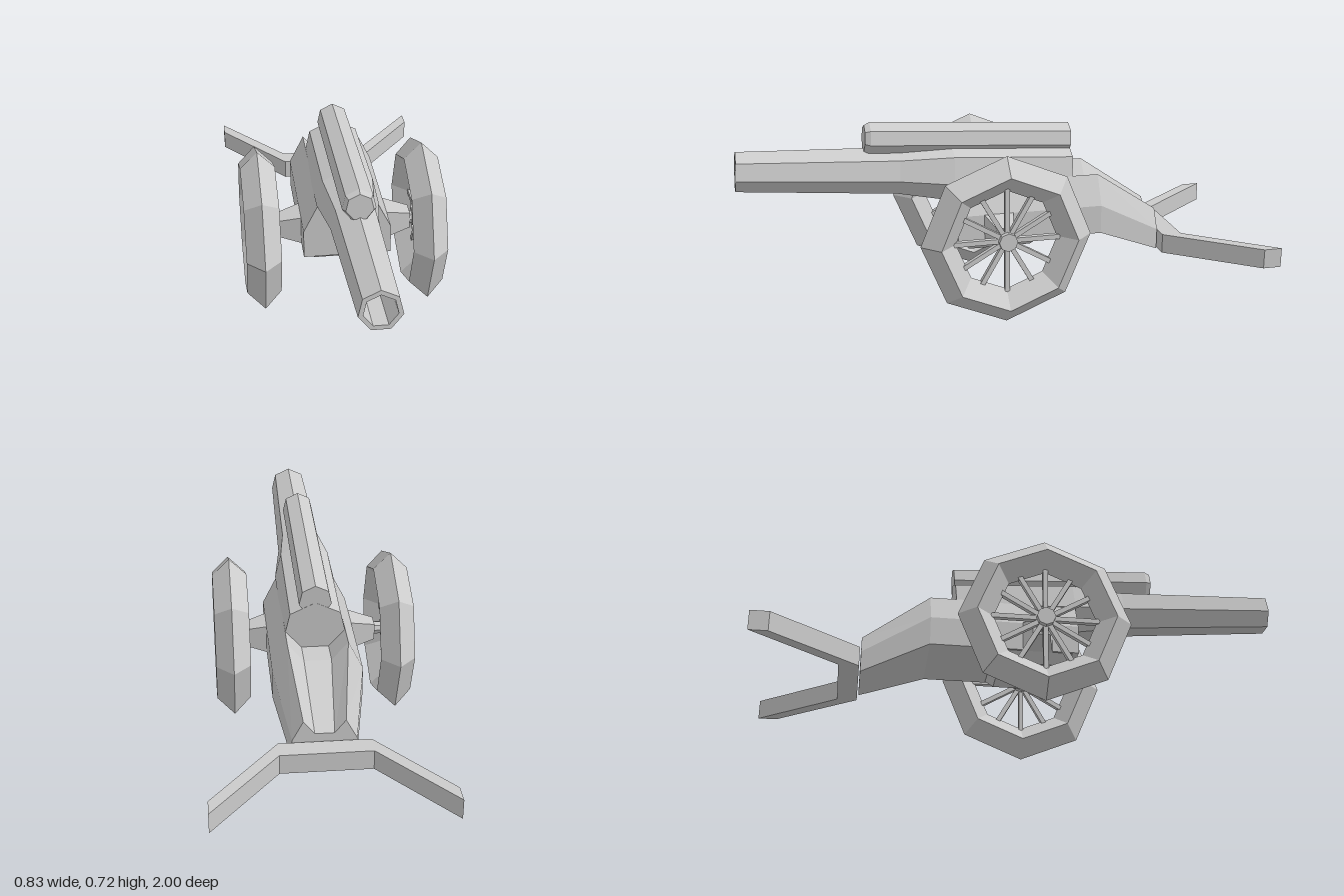
import * as THREE from 'three';

const mat = new THREE.MeshStandardMaterial({ color: 0xcccccc, flatShading: true });

function add(parent, name, geo, x = 0, y = 0, z = 0) {
  const mesh = new THREE.Mesh(geo, mat);
  mesh.name = name;
  mesh.position.set(x, y, z);
  parent.add(mesh);
  return mesh;
}

// Skin cross-sections (counter-clockwise in xy, ordered back to front) and cap both ends
function loft(sections) {
  const n = sections[0].pts.length;
  const pos = [], idx = [];
  for (const s of sections) for (const [x, y] of s.pts) pos.push(x, y, s.z);
  for (let i = 0; i < sections.length - 1; i++) {
    for (let j = 0; j < n; j++) {
      const a = i * n + j, b = i * n + (j + 1) % n;
      idx.push(a, b, b + n, a, b + n, a + n);
    }
  }
  const cap = (s) => THREE.ShapeUtils.triangulateShape(s.pts.map((p) => new THREE.Vector2(...p)), []);
  for (const [a, b, c] of cap(sections[0])) idx.push(a, c, b);
  const o = (sections.length - 1) * n;
  for (const [a, b, c] of cap(sections[sections.length - 1])) idx.push(o + a, o + b, o + c);
  const geo = new THREE.BufferGeometry();
  geo.setAttribute('position', new THREE.Float32BufferAttribute(pos, 3));
  geo.setIndex(idx);
  const flat = geo.toNonIndexed();
  flat.computeVertexNormals();
  return flat;
}

// Symmetric section from its right half, listed bottom to top
function section(z, half) {
  return { z, pts: [...half, ...half.map(([x, y]) => [-x, y]).reverse()] };
}

// Seven-sided turned part pointing along +z, with a corner at the top
function turned(profile) {
  const pts = profile.map(([r, l]) => new THREE.Vector2(r, l));
  return new THREE.LatheGeometry(pts, 7, Math.PI).rotateX(Math.PI / 2);
}

function makeWheel(name, x) {
  const wheel = new THREE.Group();
  wheel.name = name;
  wheel.position.set(x, 0.325, 0.047);
  // Octagonal rim with a diamond cross-section
  add(wheel, 'rim', new THREE.TorusGeometry(0.256, 0.065, 4, 8).rotateY(Math.PI / 2));
  add(wheel, 'hub', new THREE.CylinderGeometry(0.035, 0.035, 0.06, 8).rotateZ(Math.PI / 2));
  for (let i = 0; i < 12; i++) {
    const spoke = add(wheel, 'spoke', new THREE.BoxGeometry(0.02, 0.225, 0.018).translate(0, 0.1125, 0));
    spoke.rotation.x = (i * Math.PI) / 6;
  }
  return wheel;
}

export function createModel() {
  const model = new THREE.Group();
  model.name = 'fieldGun';
  const tilt = -0.063;

  // Main barrel with an open bore
  const barrel = add(model, 'barrel', turned([
    [0, 0], [0.118, 0], [0.118, 0.46], [0.09, 0.66], [0.075, 1.258],
    [0.058, 1.258], [0.058, 1.0], [0, 1.0],
  ]), 0, 0.488, -0.26);
  barrel.rotation.x = tilt;

  // Recoil cylinder above the barrel
  const recoil = add(model, 'recoilCylinder', turned([
    [0, 0], [0.061, 0], [0.061, 0.77], [0.05, 0.79], [0, 0.79],
  ]), 0, 0.613, -0.267);
  recoil.rotation.x = tilt;

  // Carriage body running back into the grooved trail
  const rear = [[0.115, 0.165], [0.115, 0.245], [0.075, 0.32], [0.035, 0.27]];
  const main = [[0.165, 0.27], [0.165, 0.38], [0.11, 0.49], [0.05, 0.42]];
  add(model, 'carriage', loft([section(-0.61, rear), section(-0.36, main), section(0.2, main)]));

  // Tapered belly under the carriage
  const belly = loft([
    { z: -0.03, pts: [[-0.12, -0.12], [0.12, -0.12], [0.12, 0.12], [-0.12, 0.12]] },
    { z: 0.01, pts: [[-0.16, -0.15], [0.16, -0.15], [0.16, 0.15], [-0.16, 0.15]] },
  ]).rotateX(-Math.PI / 2);
  add(model, 'belly', belly, 0, 0.264, 0.03);

  // Spread tail bar
  const bar = new THREE.Shape([
    [-0.415, -0.93], [-0.165, -0.615], [0.165, -0.615], [0.415, -0.93],
    [0.415, -1], [0.165, -0.69], [-0.165, -0.69], [-0.415, -1],
  ].map(([x, z]) => new THREE.Vector2(x, -z)));
  add(model, 'tailBar', new THREE.ExtrudeGeometry(bar, { depth: 0.075, bevelEnabled: false })
    .rotateX(-Math.PI / 2), 0, 0.165, 0);

  // Axle stubs and wheels
  for (const [side, s, x] of [['left', 1, 0.3], ['right', -1, -0.32]]) {
    const stub = new THREE.CylinderGeometry(0.032 * Math.SQRT2, 0.057 * Math.SQRT2, 0.1, 4)
      .rotateY(Math.PI / 4).rotateZ(-s * Math.PI / 2);
    add(model, side + 'AxleStub', stub, s * 0.21, 0.325, 0.043);
    const reach = Math.abs(x) - 0.24;
    add(model, side + 'Axle', new THREE.CylinderGeometry(0.025, 0.025, reach, 8).rotateZ(Math.PI / 2),
      s * (0.24 + reach / 2), 0.325, 0.047);
    model.add(makeWheel(side + 'Wheel', x));
  }
  return model;
}
